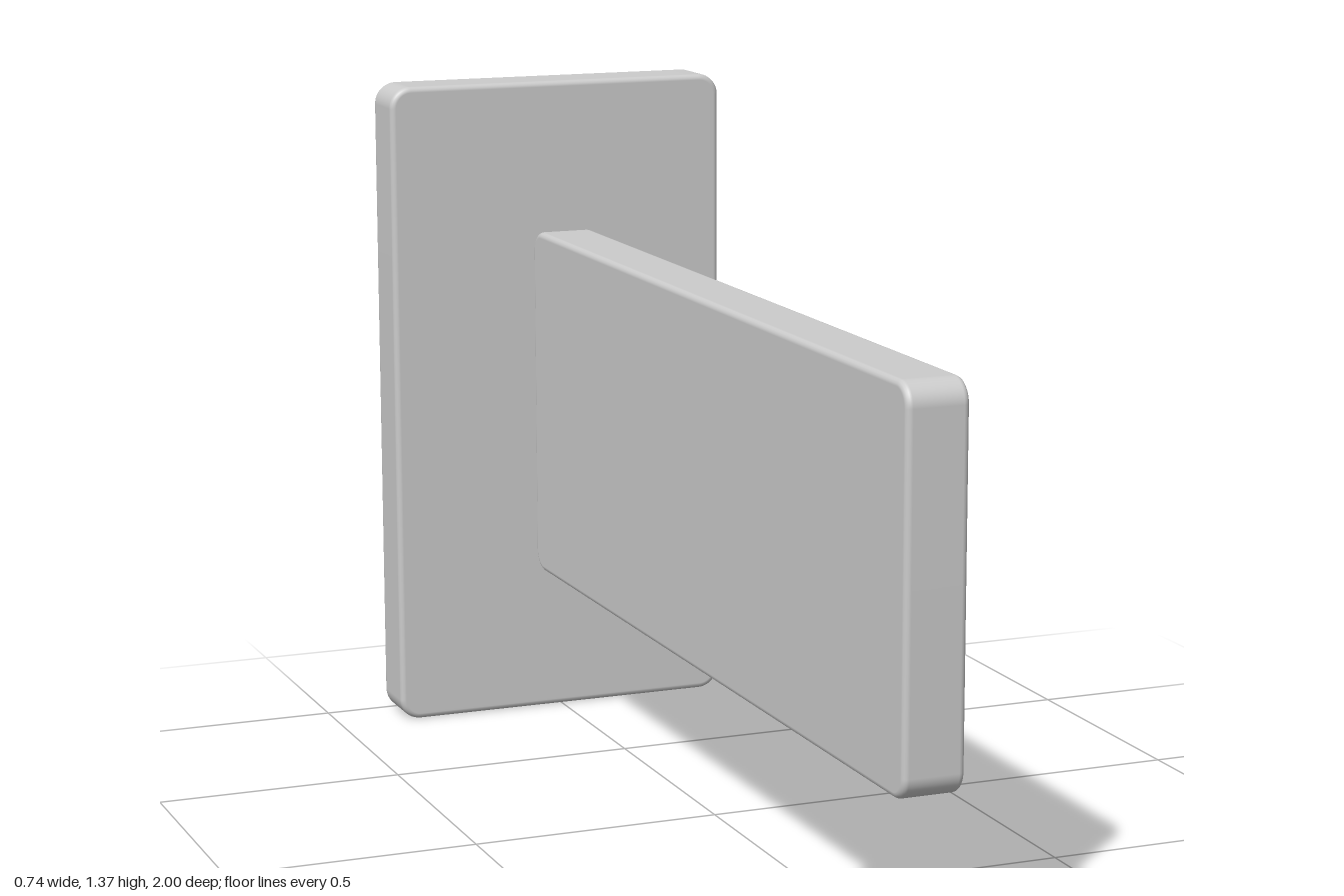
import * as THREE from 'three';

const CORNER = 0.045; // outline corner radius
const BEVEL = 0.012;  // softened rim radius

// Slab in the XY plane, centred, with rounded corners and a softened rim
function slabGeometry(width, height, thickness) {
  const ix = width / 2 - CORNER, iy = height / 2 - CORNER, r = CORNER - BEVEL;
  const shape = new THREE.Shape();
  shape.absarc(ix, iy, r, 0, Math.PI / 2);
  shape.absarc(-ix, iy, r, Math.PI / 2, Math.PI);
  shape.absarc(-ix, -iy, r, Math.PI, Math.PI * 1.5);
  shape.absarc(ix, -iy, r, Math.PI * 1.5, Math.PI * 2);

  const inner = thickness / 2 - BEVEL;
  const geo = new THREE.ExtrudeGeometry(shape, {
    depth: inner * 2, bevelSize: BEVEL, bevelThickness: BEVEL, bevelSegments: 4, curveSegments: 8,
  });
  geo.translate(0, 0, -inner);

  // Smooth normals that follow the rounding and leave the broad faces flat
  const pos = geo.attributes.position, nor = geo.attributes.normal;
  const d = new THREE.Vector2(), n = new THREE.Vector3();
  for (let i = 0; i < pos.count; i++) {
    const x = pos.getX(i), y = pos.getY(i), z = pos.getZ(i);
    d.set(x - THREE.MathUtils.clamp(x, -ix, ix), y - THREE.MathUtils.clamp(y, -iy, iy));
    const out = Math.max(0, d.length() - r);
    d.normalize().multiplyScalar(out);
    n.set(d.x, d.y, Math.sign(z) * Math.max(0, Math.abs(z) - inner)).normalize();
    nor.setXYZ(i, n.x, n.y, n.z);
  }
  return geo;
}

export function createModel() {
  const group = new THREE.Group();
  const material = new THREE.MeshStandardMaterial({ color: 0xcccccc });

  // Upright plate at the back
  const plate = new THREE.Mesh(slabGeometry(0.74, 1.37, 0.12), material);
  plate.name = 'backPlate';
  plate.position.set(0, 0.685, -0.94);

  // Upright arm reaching forward from the plate
  const arm = new THREE.Mesh(slabGeometry(1.875, 0.74, 0.12), material);
  arm.name = 'arm';
  arm.rotation.y = Math.PI / 2;
  arm.position.set(0, 0.685, 0.0625);

  group.add(plate, arm);
  return group;
}
